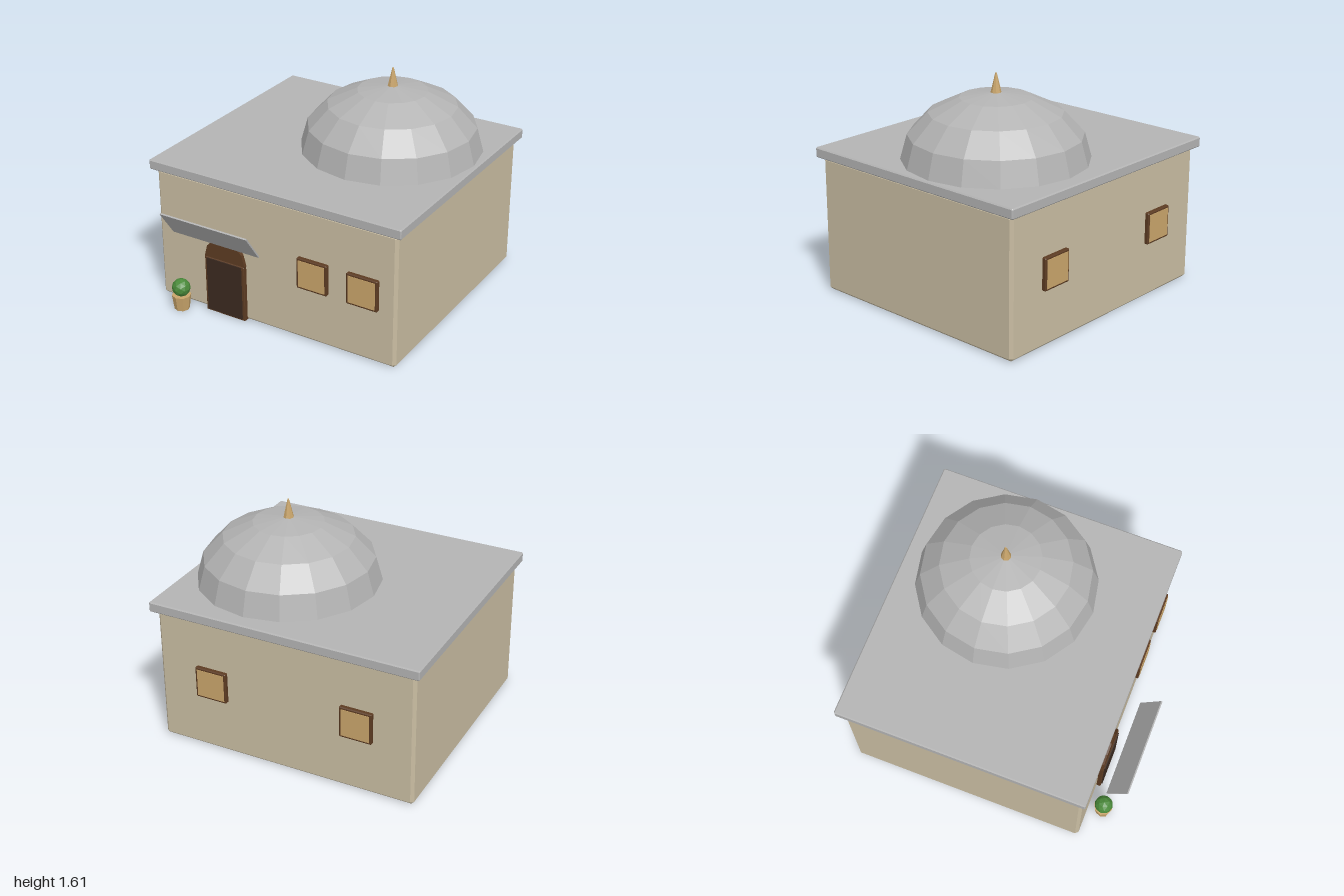
import * as THREE from 'three';
import { ConvexGeometry } from 'three/addons/geometries/ConvexGeometry.js';

const mat = (name, color) => {
  const m = new THREE.MeshStandardMaterial({ color, flatShading: true });
  m.name = name;
  return m;
};

// Box with every edge chamfered by b
function chamferBox(w, h, d, b) {
  const pts = [];
  for (const sx of [-1, 1]) for (const sy of [-1, 1]) for (const sz of [-1, 1]) {
    for (let k = 0; k < 3; k++) {
      const inset = [b, b, b];
      inset[k] = 0;
      pts.push(new THREE.Vector3(
        sx * (w / 2 - inset[0]), sy * (h / 2 - inset[1]), sz * (d / 2 - inset[2])));
    }
  }
  return new ConvexGeometry(pts);
}

export function createModel() {
  const plaster = mat('plaster', 0xc9bda2);
  const stone = mat('grey stone', 0xb3b3b3);
  const wood = mat('brown wood', 0x5c3b22);
  const darkWood = mat('dark wood', 0x3b2a20);
  const tan = mat('tan', 0xc9a56b);
  const leaf = mat('leaf green', 0x4a8a3a);

  const model = new THREE.Group();
  model.name = 'domedHouse';
  const add = (parent, name, geometry, material, x, y, z) => {
    const mesh = new THREE.Mesh(geometry, material);
    mesh.name = name;
    mesh.position.set(x, y, z);
    parent.add(mesh);
    return mesh;
  };

  // Walls and flat roof
  add(model, 'walls', chamferBox(1.86, 0.965, 1.705, 0.02), plaster, 0, 0.4825, -0.1075);
  add(model, 'roofSlab', chamferBox(1.936, 0.072, 1.776, 0.008), stone, 0, 1.0, -0.112);

  // Faceted dome with its finial
  const dome = new THREE.SphereGeometry(0.63, 16, 4, 0, Math.PI * 2, 0, Math.PI / 2);
  dome.scale(1, 0.455 / 0.63, 1);
  add(model, 'dome', dome, stone, 0.315, 1.03, -0.27);
  add(model, 'finial', new THREE.CylinderGeometry(0.005, 0.037, 0.135, 8), tan, 0.315, 1.542, -0.27);

  // Windows: two at the front, two at the back
  const frameGeo = chamferBox(0.23, 0.225, 0.05, 0.006);
  const paneGeo = new THREE.BoxGeometry(0.2, 0.195, 0.006);
  for (const [x, z, turn] of [
    [0.315, 0.747, 0], [0.69, 0.747, 0], [-0.53, -0.963, Math.PI], [0.53, -0.963, Math.PI],
  ]) {
    const win = new THREE.Group();
    win.name = 'window';
    win.position.set(x, 0.508, z);
    win.rotation.y = turn;
    add(win, 'windowFrame', frameGeo, wood, 0, 0, 0);
    add(win, 'windowPane', paneGeo, tan, 0, 0, 0.025);
    model.add(win);
  }

  // Door with rounded arch
  const door = new THREE.Group();
  door.name = 'door';
  door.position.set(-0.375, 0, 0.745);
  add(door, 'doorFrame', chamferBox(0.32, 0.42, 0.06, 0.005), wood, 0, 0.21, 0);
  add(door, 'doorPanel', new THREE.BoxGeometry(0.28, 0.4, 0.009), darkWood, 0, 0.215, 0.033);
  const arch = new THREE.CylinderGeometry(0.162, 0.162, 0.05, 12);
  arch.rotateX(Math.PI / 2);
  add(door, 'doorArch', arch, wood, 0, 0.422, 0);
  model.add(door);

  // Tilted awning panel standing clear of the wall
  const awning = add(model, 'awning', new THREE.BoxGeometry(0.69, 0.011, 0.236), stone, -0.375, 0.694, 0.927);
  awning.rotation.x = -0.955;

  // Potted shrub beside the door
  const plant = new THREE.Group();
  plant.name = 'pottedShrub';
  plant.position.set(-0.692, 0, 0.85);
  add(plant, 'pot', new THREE.CylinderGeometry(0.067, 0.053, 0.107, 8), tan, 0, 0.0535, 0);
  add(plant, 'shrub', new THREE.IcosahedronGeometry(0.065, 1), leaf, 0, 0.162, 0);
  model.add(plant);

  return model;
}
